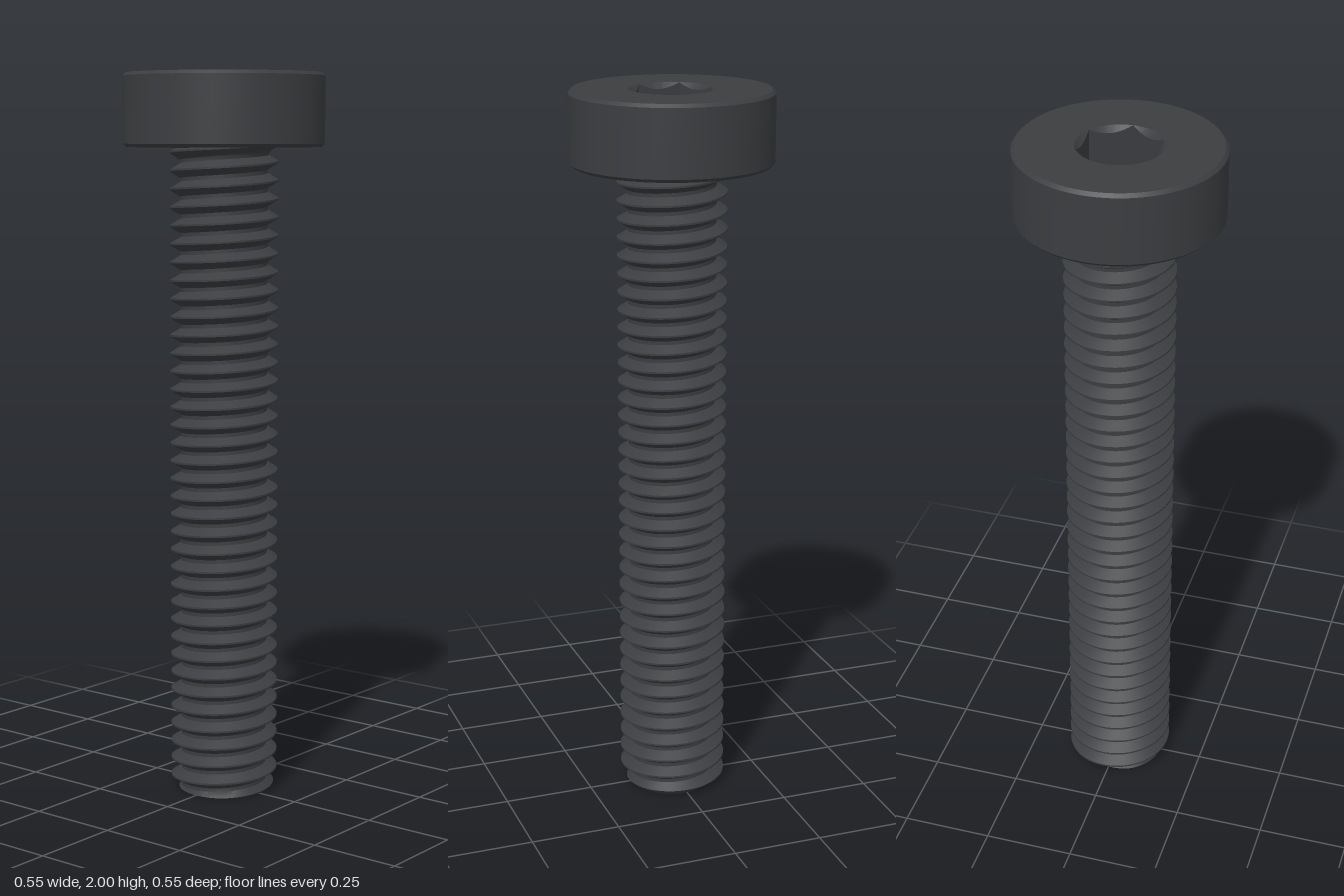
import * as THREE from 'three';
import { toCreasedNormals } from 'three/addons/utils/BufferGeometryUtils.js';

const HEAD_BASE = 1.8, HEAD_R = 0.275, BEVEL = 0.009;
const PITCH = 0.05, CREST_R = 0.149, ROOT_R = 0.12;
const HEX_APOTHEM = 0.1, HEX_R = HEX_APOTHEM / Math.cos(Math.PI / 6), SOCKET_FLOOR = 1.85;

// Surface around the y axis: point(row, angle) gives [radius, y].
// Rows running upwards face outwards; rows running downwards face inwards.
function surface(rows, segments, point, crease = 0.45) {
  const at = (i, j) => {
    const a = (j / segments) * Math.PI * 2;
    const [r, y] = point(i, a);
    return new THREE.Vector3(r * Math.cos(a), y, -r * Math.sin(a));
  };
  const pos = [];
  const tri = (a, b, c) => {
    const area = b.clone().sub(a).cross(c.clone().sub(a)).length();
    if (area > 1e-9) for (const p of [a, b, c]) pos.push(p.x, p.y, p.z);
  };
  for (let i = 0; i < rows - 1; i++) {
    for (let j = 0; j < segments; j++) {
      const a = at(i, j), b = at(i, j + 1), c = at(i + 1, j + 1), d = at(i + 1, j);
      tri(a, b, c);
      tri(a, c, d);
    }
  }
  const geometry = new THREE.BufferGeometry();
  geometry.setAttribute('position', new THREE.Float32BufferAttribute(pos, 3));
  return toCreasedNormals(geometry, crease);
}

// Radius of the right-hand thread at a height and angle, with a chamfered tip
function threadRadius(y, a) {
  const v = (y - 0.005) / PITCH - a / (Math.PI * 2);
  const fromCrest = Math.abs(v - Math.round(v)); // 0 at crest, 0.5 at root
  const t = THREE.MathUtils.clamp((fromCrest - 0.05) / 0.35, 0, 1);
  return Math.min(THREE.MathUtils.lerp(CREST_R, ROOT_R, t), 0.127 + y);
}

// Threaded shaft: rows follow the helix and are clipped at both ends
function shaftGeometry() {
  const steps = [-0.05, 0.05, 0.4, 0.6];
  const turns = Math.ceil(HEAD_BASE / PITCH) + 3;
  return surface(turns * 4 + 1, 64, (i, a) => {
    if (i === 0) return [0, 0];
    const k = i - 1;
    const v = Math.floor(k / 4) - 2 + steps[k % 4] + a / (Math.PI * 2);
    const y = THREE.MathUtils.clamp(v * PITCH + 0.005, 0, HEAD_BASE);
    return [threadRadius(y, a), y];
  });
}

// Head with bevelled rims, open in the middle for the socket
function headGeometry() {
  const profile = [
    [0.1, HEAD_BASE], [HEAD_R - BEVEL, HEAD_BASE], [HEAD_R, HEAD_BASE + BEVEL],
    [HEAD_R, 2 - BEVEL], [HEAD_R - BEVEL, 2], [HEX_R, 2],
  ];
  return surface(profile.length, 96, (i) => profile[i]);
}

// Small concave fillet between shaft and head
function filletGeometry() {
  const size = 0.032;
  return surface(7, 64, (i) => {
    const t = (i / 6) * Math.PI / 2;
    return [ROOT_R + size * (1 - Math.cos(t)), HEAD_BASE - size * (1 - Math.sin(t))];
  });
}

// Hexagonal socket with a conical lead-in that scallops the flats
function socketGeometry() {
  return surface(4, 96, (i, a) => {
    const side = Math.PI / 3;
    const offset = (((a + 1e-9) % side) + side) % side - side / 2;
    const r = HEX_APOTHEM / Math.cos(offset);
    return [[HEX_R, 2], [r, 2 - (HEX_R - r)], [r, SOCKET_FLOOR], [0, SOCKET_FLOOR]][i];
  });
}

export function createModel() {
  const group = new THREE.Group();
  group.name = 'socketHeadScrew';
  const material = new THREE.MeshStandardMaterial({ color: 0x3b3d40 });
  const parts = {
    threadedShaft: shaftGeometry(),
    neckFillet: filletGeometry(),
    head: headGeometry(),
    hexSocket: socketGeometry(),
  };
  for (const [name, geometry] of Object.entries(parts)) {
    const mesh = new THREE.Mesh(geometry, material);
    mesh.name = name;
    group.add(mesh);
  }
  return group;
}
